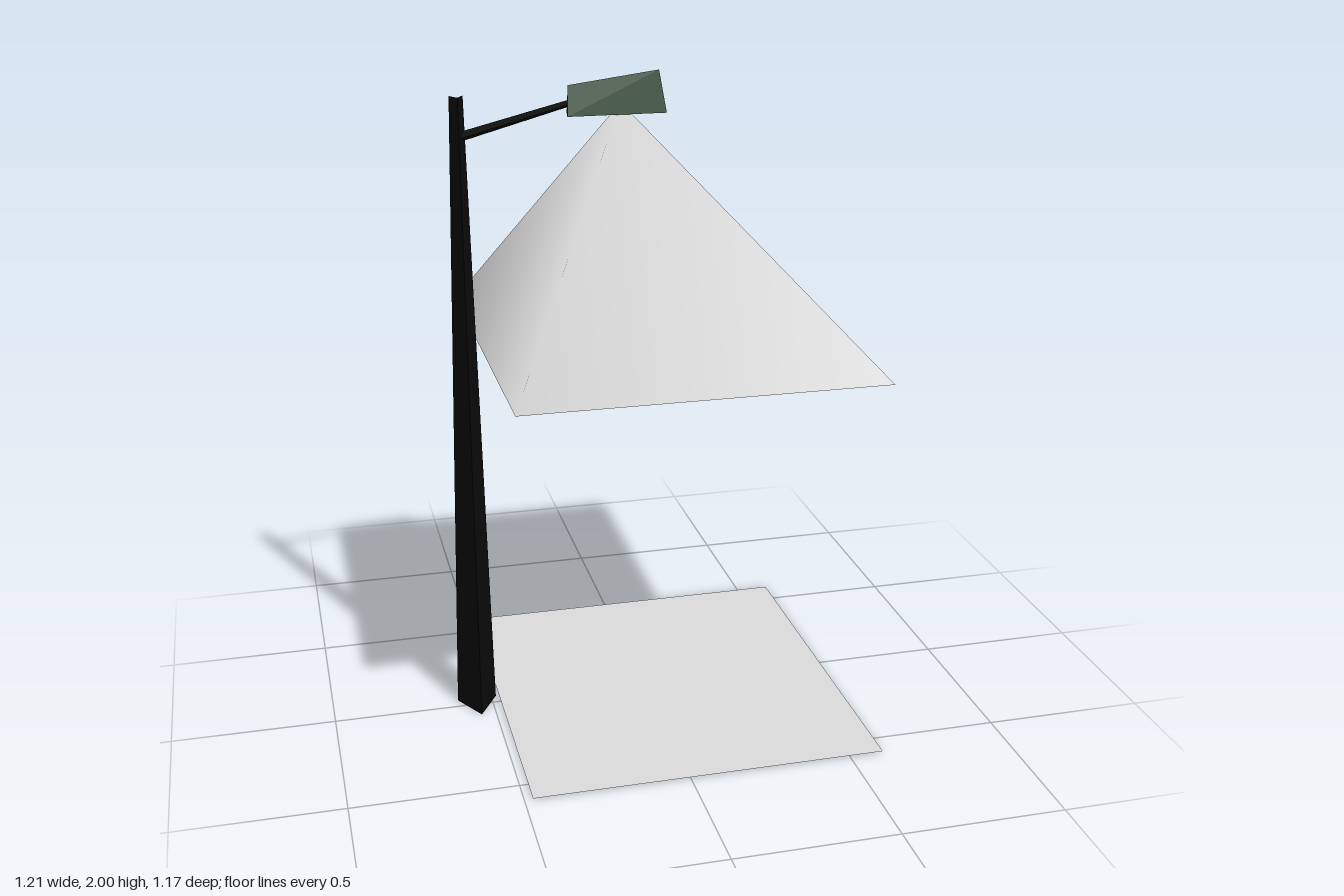
import * as THREE from 'three';
import { ConvexGeometry } from 'three/addons/geometries/ConvexGeometry.js';

export function createModel() {
  const group = new THREE.Group();
  const material = (name, color, options = {}) => {
    const m = new THREE.MeshStandardMaterial({ color, ...options });
    m.name = name;
    return m;
  };
  const black = material('black metal', 0x0a0a0a, { flatShading: true });
  const green = material('dark green', 0x0d3b12, { flatShading: true });
  const pale = material('pale light', 0xdddddd, { side: THREE.DoubleSide });

  const add = (name, geometry, mat) => {
    const mesh = new THREE.Mesh(geometry, mat);
    mesh.name = name;
    group.add(mesh);
    return mesh;
  };

  // Tapered three-sided pole, open at both ends, with one corner to the front
  add('pole', new THREE.CylinderGeometry(0.023, 0.071, 1.945, 3, 1, true), black)
    .position.set(-0.546, 0.9725, -0.003);

  // Thin three-sided arm rising from the pole to the lamp
  const start = new THREE.Vector3(-0.54, 1.828, -0.002);
  const end = new THREE.Vector3(-0.21, 1.915, -0.002);
  const direction = end.clone().sub(start);
  const arm = add('arm', new THREE.CylinderGeometry(0.011, 0.016, direction.length(), 3), black);
  arm.position.copy(start).add(end).multiplyScalar(0.5);
  arm.quaternion.setFromUnitVectors(new THREE.Vector3(0, 1, 0), direction.normalize());

  // Wedge-shaped lamp housing: a small triangle at the arm, a larger one at the tip
  add('lampHousing', new ConvexGeometry([
    [-0.222, 1.88, -0.037], [-0.234, 1.88, 0.034], [-0.225, 1.965, 0],
    [0.057, 1.88, -0.037], [0.06, 1.88, 0.034], [0.045, 2.0, 0],
  ].map((p) => new THREE.Vector3(...p))), green);

  // Light beam: an open pyramid with smooth normals averaged from its four walls
  const apex = new THREE.Vector3(-0.07, 1.91, 0);
  const corners = [[-0.497, 0.585], [0.583, 0.585], [0.583, -0.585], [-0.497, -0.585]]
    .map(([x, z]) => new THREE.Vector3(x, 1.187, z));
  const points = [apex, ...corners];
  const normals = points.map(() => new THREE.Vector3());
  const index = [];
  for (let i = 0; i < 4; i++) {
    const face = [0, 1 + i, 1 + (i + 1) % 4];
    const wall = new THREE.Triangle(...face.map((k) => points[k])).getNormal(new THREE.Vector3());
    face.forEach((k) => normals[k].add(wall));
    index.push(...face);
  }
  const beam = new THREE.BufferGeometry().setFromPoints(points);
  beam.setAttribute('normal', new THREE.Float32BufferAttribute(
    normals.flatMap((n) => n.normalize().toArray()), 3));
  beam.setIndex(index);
  add('lightBeam', beam, pale);

  // Square pool of light on the ground
  add('lightPool', new THREE.PlaneGeometry(1.08, 1.17).rotateX(-Math.PI / 2), pale)
    .position.set(0.065, 0.005, 0);

  return group;
}
